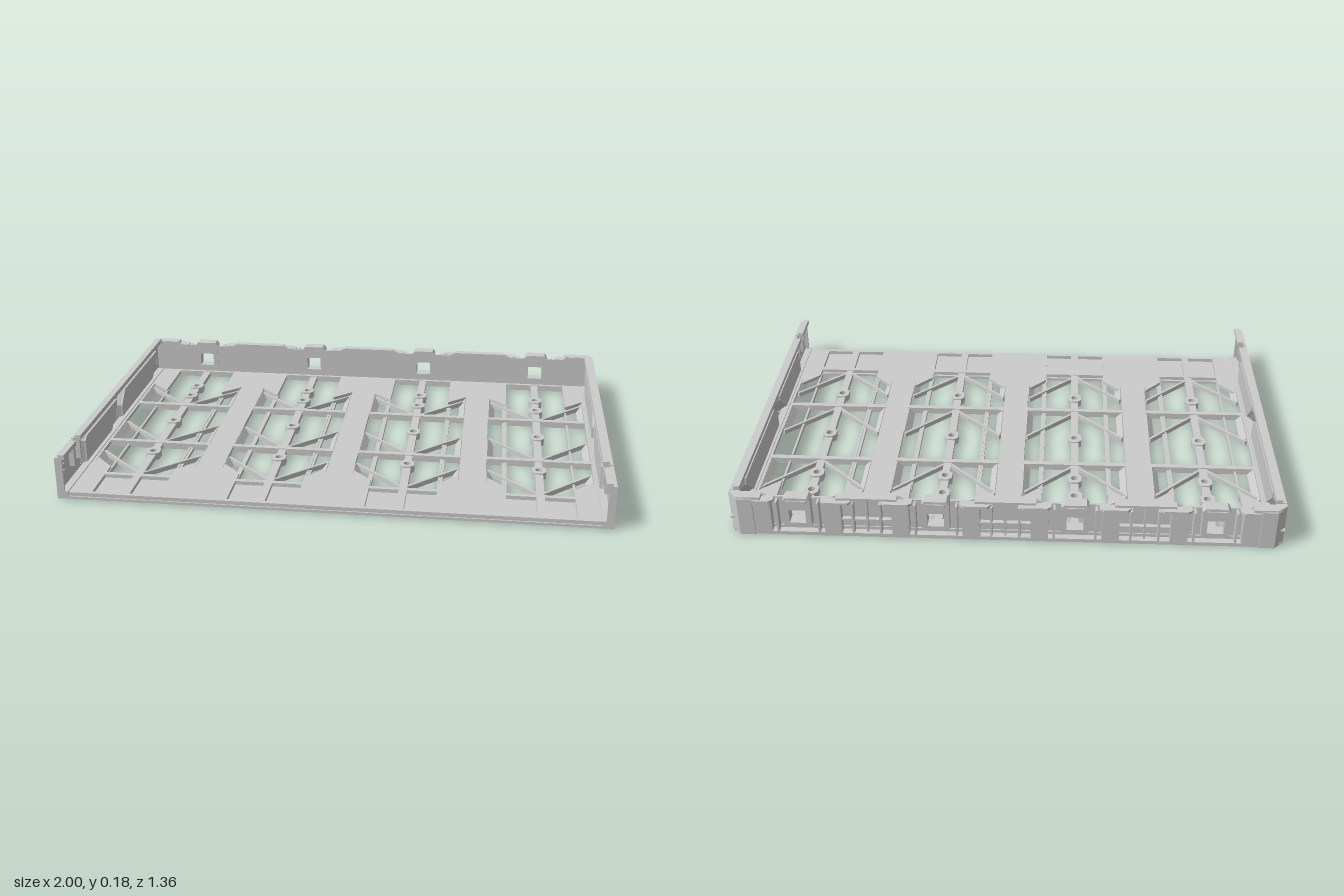
import * as THREE from 'three';

const mat = new THREE.MeshStandardMaterial({ color: 0xcccccc, flatShading: true, side: THREE.DoubleSide });
const BAYS = [-0.75, -0.25, 0.25, 0.75];
const SIDES = [-1, 1];

const toShape = (pts) => new THREE.Shape(pts.map(([a, b]) => new THREE.Vector2(a, b)));
const rect = (a0, a1, b0, b1) => [[a0, b0], [a1, b0], [a1, b1], [a0, b1]];

function add(parent, name, geo) {
  const m = new THREE.Mesh(geo, mat);
  m.name = name;
  parent.add(m);
  return m;
}

// box given by its extents
function box(parent, name, x0, x1, y0, y1, z0, z1) {
  const m = add(parent, name, new THREE.BoxGeometry(Math.abs(x1 - x0), y1 - y0, z1 - z0));
  m.position.set((x0 + x1) / 2, (y0 + y1) / 2, (z0 + z1) / 2);
  return m;
}

function extrude(pts, holes, depth) {
  const s = toShape(pts);
  holes.forEach((h) => s.holes.push(toShape(h)));
  return new THREE.ExtrudeGeometry(s, { depth, bevelEnabled: false });
}

// horizontal slab from [x, z] points
function slab(parent, name, pts, holes, y0, y1) {
  const f = (l) => l.map(([x, z]) => [x, -z]);
  const g = extrude(f(pts), holes.map(f), y1 - y0);
  g.rotateX(-Math.PI / 2).translate(0, y0, 0);
  return add(parent, name, g);
}

// upright plate along z from [z, y] points, between |x| = x0 and x1 on side s
function sidePlate(parent, name, pts, holes, x0, x1, s) {
  const f = (l) => l.map(([z, y]) => [-z, y]);
  const g = extrude(f(pts), holes.map(f), x1 - x0);
  g.rotateY(Math.PI / 2).translate(s > 0 ? x0 : -x1, 0, 0);
  return add(parent, name, g);
}

// straight bar in plan between two [x, z] points
function bar(parent, name, a, b, width, y0, y1) {
  const dx = b[0] - a[0], dz = b[1] - a[1];
  const m = add(parent, name, new THREE.BoxGeometry(Math.hypot(dx, dz), y1 - y0, width));
  m.position.set((a[0] + b[0]) / 2, (y0 + y1) / 2, (a[1] + b[1]) / 2);
  m.rotation.y = -Math.atan2(dz, dx);
}

function buildFloor() {
  const g = new THREE.Group();
  g.name = 'floor';
  const holes = [];
  for (const c of BAYS) {
    const half = [[0.125, -0.62], [0.125, -0.37], [0.2, -0.44], [0.2, 0.36], [0.125, 0.44], [0.125, 0.49]];
    holes.push([...half.map(([x, z]) => [c + x, z]), ...half.slice().reverse().map(([x, z]) => [c - x, z])]);
    // shallow pockets by the front edge
    for (const s of SIDES) holes.push(rect(c + s * 0.015, c + s * 0.125, 0.51, 0.66));
  }
  slab(g, 'floorPlate', rect(-0.99, 0.99, -0.65, 0.675), holes, 0.012, 0.026);
  box(g, 'frontUndersidePlate', -0.99, 0.99, 0.002, 0.012, 0.48, 0.68);
  box(g, 'rearUndersideBeam', -0.99, 0.99, 0, 0.012, -0.66, -0.625);
  // long ribs below the solid strips
  for (const x of [-0.5, 0, 0.5]) {
    for (const d of [-0.115, -0.04, -0.02, 0.02, 0.04, 0.115]) {
      const long = Math.abs(d) < 0.1;
      box(g, 'undersideRib', x + d - 0.005, x + d + 0.005, 0, 0.013, -0.63, long ? 0.67 : 0.49);
    }
  }
  for (const s of SIDES) box(g, 'undersideEdgeRib', s * 0.965, s * 0.975, 0, 0.013, -0.63, 0.67);
  return g;
}

function buildBay(c) {
  const g = new THREE.Group();
  g.name = 'bayLattice';
  const bosses = [-0.43, -0.315, -0.03, 0.285];
  // spine with round openings at the bosses
  const hole = (z, r) => Array.from({ length: 16 }, (_, i) => {
    const a = (i / 16) * Math.PI * 2;
    return [r * Math.cos(a), z + r * Math.sin(a)];
  });
  const cuts = [-0.63, ...bosses, 0.5];
  for (let i = 0; i < cuts.length - 1; i++) {
    const z0 = cuts[i] + (i ? 0.025 : 0), z1 = cuts[i + 1] - (i < bosses.length ? 0.025 : 0);
    box(g, 'spine', -0.015, 0.015, 0.004, 0.024, z0, z1);
  }
  for (const z of bosses) {
    const o = [[-0.014, -0.03], [0.014, -0.03], [0.027, -0.017], [0.027, 0.017], [0.014, 0.03], [-0.014, 0.03], [-0.027, 0.017], [-0.027, -0.017]];
    slab(g, 'boss', o.map(([x, dz]) => [x, z + dz]), [hole(z, 0.014)], 0.002, 0.03);
  }
  // crossbars and backward-opening diagonal braces
  for (const z of [-0.21, 0.19]) box(g, 'crossbar', -0.205, 0.205, 0.002, 0.027, z - 0.011, z + 0.011);
  for (const s of SIDES) {
    for (const z of [-0.215, 0.18, 0.48]) bar(g, 'diagonalBrace', [0, z], [s * 0.195, z - 0.19], 0.01, 0.003, 0.022);
    box(g, 'thinRail', s * 0.122, s * 0.13, 0, 0.016, -0.4, 0.47);
    // slanted side deflectors split by the crossbars
    for (const [z0, z1] of [[-0.42, -0.22], [0, 0.18], [0.3, 0.4], [-0.2, -0.01]]) {
      if (z0 === -0.2) continue;
      const p = add(g, 'slantedDeflector', new THREE.BoxGeometry(0.005, 0.034, z1 - z0));
      p.position.set(s * 0.188, 0.013, (z0 + z1) / 2);
      p.rotation.z = -s * 0.75;
    }
  }
  g.position.x = c;
  return g;
}

// one recess of a side wall: bevel ring and inner panel
function recess(parent, outer, inner, s) {
  const pos = [], n = outer.length, xo = s * 0.999, xi = s * 0.968;
  for (let i = 0; i < n; i++) {
    const j = (i + 1) % n;
    const q = [[xo, outer[i]], [xo, outer[j]], [xi, inner[j]], [xi, inner[i]]];
    const order = s > 0 ? [0, 1, 2, 0, 2, 3] : [0, 2, 1, 0, 3, 2];
    for (const k of order) pos.push(q[k][0], q[k][1][1], q[k][1][0]);
  }
  const geo = new THREE.BufferGeometry();
  geo.setAttribute('position', new THREE.Float32BufferAttribute(pos, 3));
  geo.computeVertexNormals();
  add(parent, 'recessBevel', geo);
  sidePlate(parent, 'recessPanel', inner, [], 0.963, 0.968, s);
}

function buildSide(s) {
  const g = new THREE.Group();
  g.name = s > 0 ? 'leftWall' : 'rightWall';
  const panels = [
    { outer: [[0.46, 0.037], [0.1, 0.037], [0.04, 0.095], [0.04, 0.155], [0.44, 0.155], [0.46, 0.137]],
      inner: [[0.448, 0.045], [0.14, 0.045], [0.055, 0.125], [0.055, 0.145], [0.43, 0.145], [0.448, 0.13]] },
    { outer: [[0.005, 0.037], [-0.5, 0.037], [-0.552, 0.09], [-0.552, 0.155], [-0.055, 0.155], [0.005, 0.097]],
      inner: [[-0.007, 0.045], [-0.46, 0.045], [-0.54, 0.12], [-0.54, 0.145], [-0.062, 0.145], [-0.007, 0.092]] },
  ];
  // keyhole slots
  const key = (z, y0, y1) => [[z - 0.005, y0], [z + 0.005, y0], [z + 0.005, y0 + 0.02], [z + 0.01, y0 + 0.03], [z + 0.01, y1], [z - 0.01, y1], [z - 0.01, y0 + 0.03], [z - 0.005, y0 + 0.02]];
  const slots = [key(0.658, 0.058, 0.115), key(0.022, 0.058, 0.115), key(-0.608, 0.058, 0.115), rect(0.517, 0.533, 0.098, 0.142)];
  for (const [z, d] of [[0.625, 0.008], [-0.58, 0.008]]) for (const y of [0.09, 0.115]) slots.push(rect(z - d, z + d, y, y + 0.005));
  sidePlate(g, 'outerPlate', rect(-0.635, 0.68, 0, 0.16), [...panels.map((p) => p.outer), ...slots], 0.988, 1, s);
  panels.forEach((p) => recess(g, p.outer, p.inner, s));
  // capping ledge and raised rail, interrupted near the front
  for (const [z0, z1] of [[-0.63, 0.5], [0.548, 0.68]]) {
    box(g, 'topLedge', s * 0.962, s * 0.998, 0.157, 0.164, z0, z1);
    box(g, 'topRail', s * 0.962, s * 0.985, 0.163, 0.175, z0, z1);
  }
  box(g, 'foot', s * 0.96, s * 0.99, 0.012, 0.03, -0.63, 0.68);
  box(g, 'frontPost', s * 0.972, s * 0.99, 0.02, 0.16, 0.674, 0.68);
  for (const z of [0.49, 0.56]) box(g, 'clipGuide', s * 0.968, s * 0.99, 0.08, 0.157, z - 0.006, z + 0.006);
  for (const z of [0.21, -0.19]) box(g, 'lowerTick', s * 0.998, s * 1.0, 0.012, 0.03, z - 0.003, z + 0.003);
  return g;
}

function buildBack() {
  const g = new THREE.Group();
  g.name = 'backWall';
  // top edge dips beside each latch
  const top = [];
  for (const c of BAYS) top.push([c - 0.14, 0.16], [c - 0.115, 0.147], [c + 0.115, 0.147], [c + 0.14, 0.16]);
  const profile = [[-0.985, 0.01], [0.985, 0.01], [0.985, 0.16], ...top.reverse(), [-0.985, 0.16]];
  const plate = extrude(profile, BAYS.map((c) => rect(c - 0.03, c + 0.03, 0.055, 0.11)), 0.01);
  add(g, 'innerPlate', plate.translate(0, 0, -0.645));
  const foot = [[-1, -0.635], [1, -0.635], [1, -0.645], [0.965, -0.675], [-0.965, -0.675], [-1, -0.645]];
  slab(g, 'bottomFlange', foot, [], 0, 0.014);
  for (const c of BAYS) {
    // latch housing with window
    const frame = extrude([[c - 0.05, 0.04], [c + 0.05, 0.04], [c + 0.05, 0.15], [c + 0.04, 0.162], [c - 0.04, 0.162], [c - 0.05, 0.15]],
      [rect(c - 0.03, c + 0.03, 0.055, 0.11)], 0.045);
    add(g, 'latchHousing', frame.translate(0, 0, -0.676));
    box(g, 'latchTab', c - 0.035, c + 0.035, 0.14, 0.152, -0.68, -0.67);
    for (const s of SIDES) {
      const x = (d) => c + s * d;
      slab(g, 'topFlange', [[x(0.085), -0.64], [x(0.085), -0.668], [x(0.1), -0.68], [x(0.185), -0.68], [x(0.2), -0.665], [x(0.2), -0.64]], [], 0.14, 0.149);
      box(g, 'outerPanel', x(0.1), x(0.155), 0.01, 0.145, -0.678, -0.672);
      for (const d of [0.075, 0.1, 0.155, 0.2]) box(g, 'backRib', x(d) - 0.004, x(d) + 0.004, 0.01, 0.143, -0.676, -0.64);
      box(g, 'shelfRib', x(0.155), x(0.25), 0.06, 0.067, -0.662, -0.64);
    }
  }
  for (const x of [-0.5, 0, 0.5]) {
    box(g, 'middleFlange', x - 0.11, x + 0.11, 0.151, 0.16, -0.665, -0.64);
    box(g, 'middleRib', x - 0.004, x + 0.004, 0.01, 0.155, -0.665, -0.64);
  }
  // chamfered corner columns
  for (const s of SIDES) {
    const c = [[s, -0.63], [s, -0.645], [s * 0.965, -0.68], [s * 0.91, -0.68], [s * 0.91, -0.672], [s * 0.96, -0.672], [s * 0.988, -0.642], [s * 0.988, -0.63]];
    slab(g, 'cornerColumn', c, [], 0, 0.155);
    slab(g, 'cornerCap', [[s, -0.63], [s, -0.645], [s * 0.965, -0.675], [s * 0.88, -0.675], [s * 0.88, -0.637], [s * 0.96, -0.637], [s * 0.96, -0.63]], [], 0.15, 0.161);
  }
  return g;
}

export function createModel() {
  const model = new THREE.Group();
  model.name = 'tray';
  model.add(buildFloor(), buildBack(), ...BAYS.map(buildBay), ...SIDES.map(buildSide));
  return model;
}
